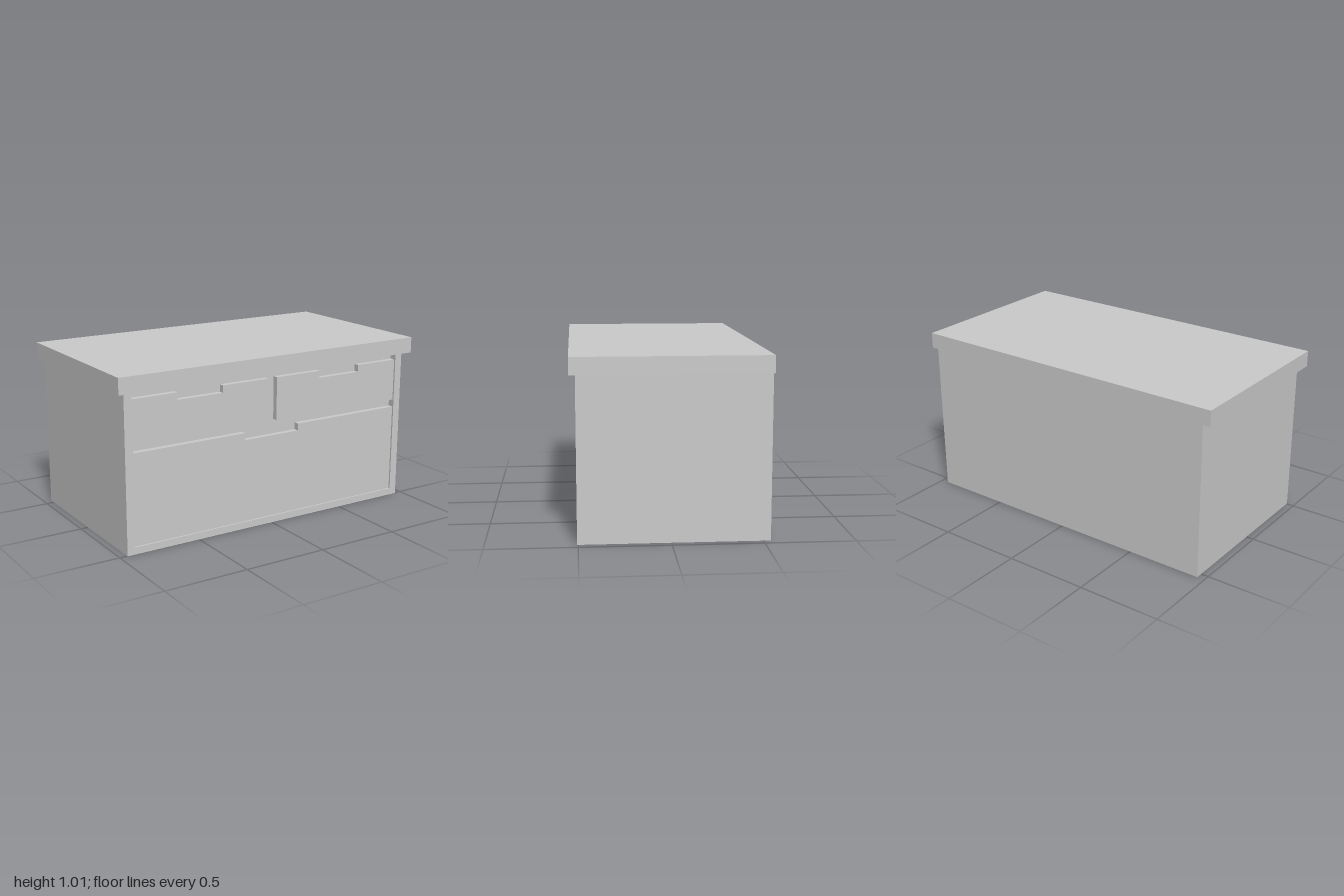
import * as THREE from 'three';

const material = new THREE.MeshStandardMaterial({ color: 0xcccccc, flatShading: true });

// Box given by its minimum and maximum corners
function box(name, [x0, y0, z0], [x1, y1, z1]) {
  const geometry = new THREE.BoxGeometry(x1 - x0, y1 - y0, z1 - z0);
  geometry.translate((x0 + x1) / 2, (y0 + y1) / 2, (z0 + z1) / 2);
  const mesh = new THREE.Mesh(geometry, material);
  mesh.name = name;
  return mesh;
}

// Flat outline extruded from z0 to z1
function panel(name, points, z0, z1) {
  const shape = new THREE.Shape(points.map(([x, y]) => new THREE.Vector2(x, y)));
  const geometry = new THREE.ExtrudeGeometry(shape, { depth: z1 - z0, bevelEnabled: false });
  geometry.translate(0, 0, z0);
  const mesh = new THREE.Mesh(geometry, material);
  mesh.name = name;
  return mesh;
}

const BACK = -0.54, RECESS = 0.463, DRAWER = 0.496, FRONT = 0.506;
const W = 0.955, INNER = 0.908, H = 0.918, SILL = 0.042;

// Drawer front with a finger notch cut into its top edge
function drawerFront(name, x0, x1, y0, y1, notch0, notch1) {
  const dip = y1 - 0.042;
  return panel(name, [
    [x0, y0], [x1, y0], [x1, y1], [notch1, y1],
    [notch1, dip], [notch0, dip], [notch0, y1], [x0, y1],
  ], RECESS, DRAWER);
}

export function createModel() {
  const group = new THREE.Group();
  group.name = 'drawerChest';

  // Carcass and overhanging top, flush at the back
  group.add(box('carcass', [-W, 0, BACK], [W, H, RECESS]));
  group.add(box('top', [-1, H, BACK], [1, 1.013, 0.54]));

  // Front frame: two stiles and a bottom sill
  group.add(panel('frontFrame', [
    [-W, 0], [W, 0], [W, H], [INNER, H],
    [INNER, SILL], [-INNER, SILL], [-INNER, H], [-W, H],
  ], RECESS, FRONT));

  // Two small drawers above one wide drawer
  group.add(drawerFront('upperRightDrawer', -INNER, -0.03, 0.622, 0.876, -0.625, -0.335));
  group.add(drawerFront('upperLeftDrawer', 0.03, INNER, 0.622, 0.876, 0.335, 0.625));
  group.add(drawerFront('lowerDrawer', -INNER, INNER, SILL, 0.577, -0.185, 0.185));

  return group;
}
